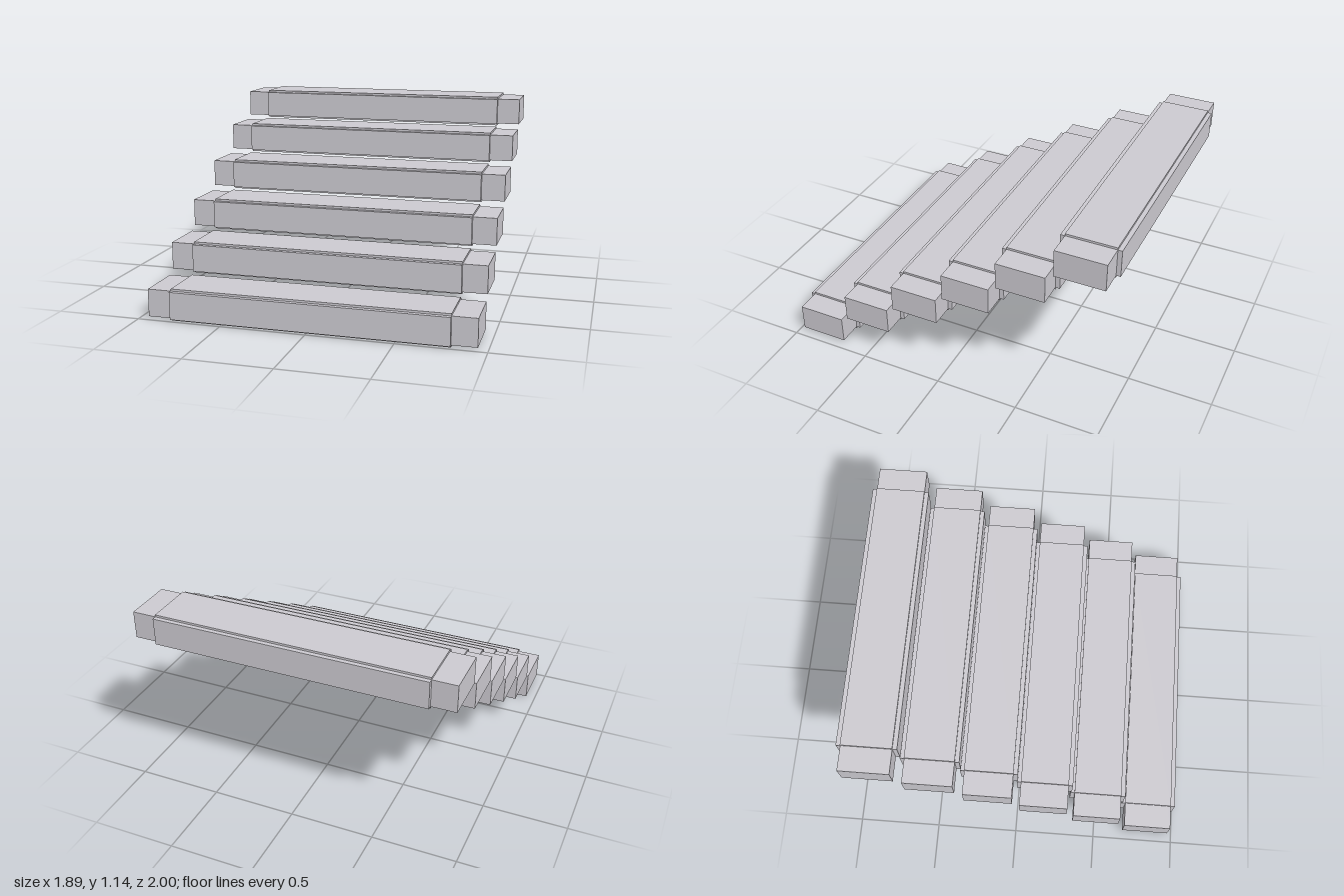
import * as THREE from 'three';

export function createModel() {
  const stone = new THREE.MeshStandardMaterial({ color: 0xcccad0 });
  stone.name = 'pale stone grey';

  const steps = 6, rise = 0.19, run = 0.332;
  const height = 0.187, depth = 0.34;          // overall step section
  const coreHeight = 0.162, coreDepth = 0.289; // section inside the notched edges
  const bodyWidth = 1.605, coreWidth = 1.89;

  // Each step is three crossing blocks, leaving small notches along every edge
  const blocks = [
    ['endCore', new THREE.BoxGeometry(coreWidth, coreHeight, coreDepth)],
    ['treadBlock', new THREE.BoxGeometry(bodyWidth, height, coreDepth)],
    ['riserBlock', new THREE.BoxGeometry(bodyWidth, coreHeight, depth)],
  ];

  const stairs = new THREE.Group();
  stairs.name = 'floatingStairs';
  for (let i = 0; i < steps; i++) {
    const step = new THREE.Group();
    step.name = `step${i + 1}`;
    for (const [name, geometry] of blocks) {
      const mesh = new THREE.Mesh(geometry, stone);
      mesh.name = name;
      step.add(mesh);
    }
    // Steps climb from the front toward the back
    step.position.set(0, height / 2 + i * rise, 1 - depth / 2 - i * run);
    stairs.add(step);
  }
  return stairs;
}
